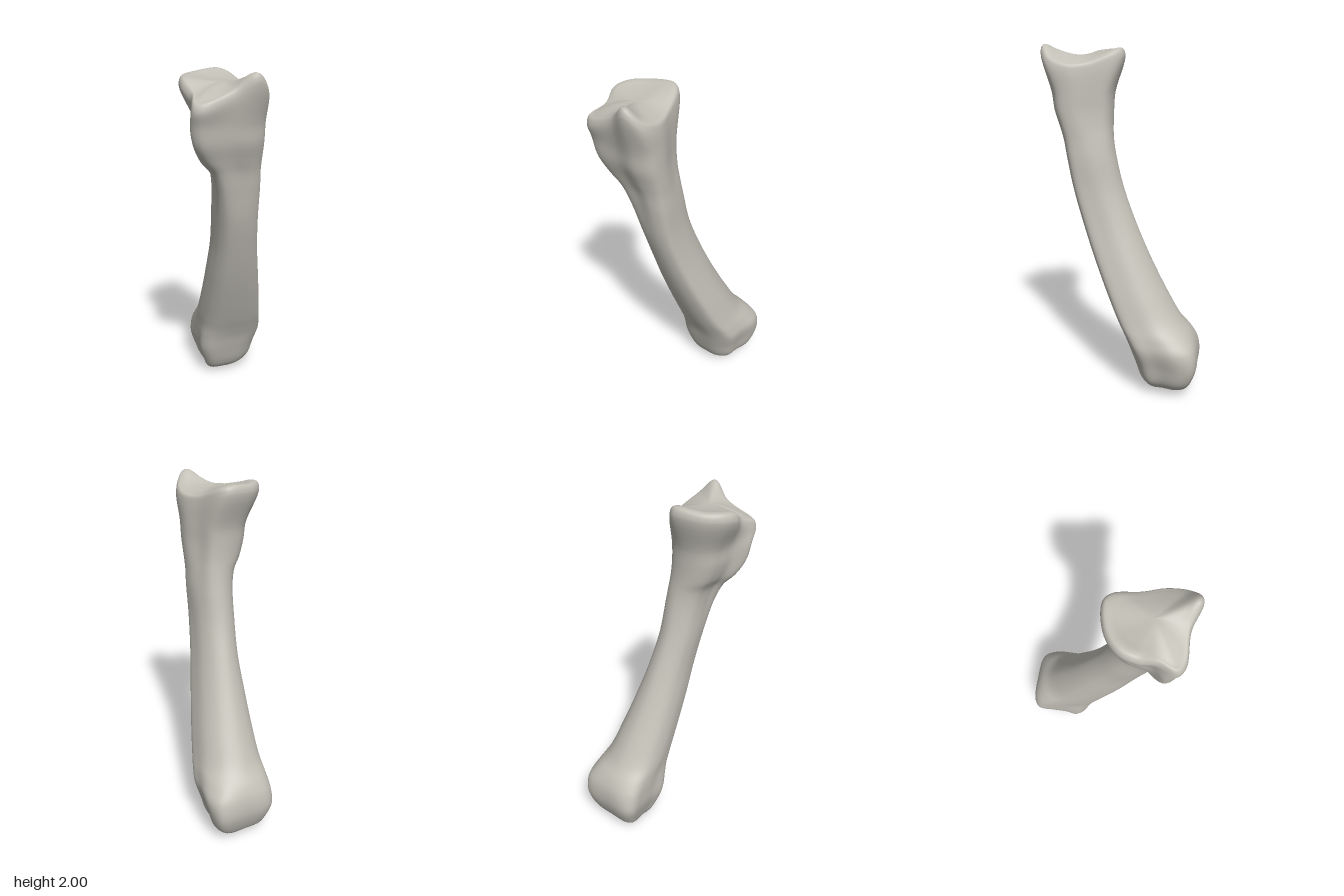
import * as THREE from 'three';
import { mergeVertices } from 'three/addons/utils/BufferGeometryUtils.js';

// Outlines in a unit square (u across x, v across z): back, -x side, front, +x side
const HEAD = [[.5, 0], [.15, .01], [.04, .1], [.03, .35], [.03, .6], [.01, .82], [.12, .96], [.45, 1], [.72, .97], [.91, .82], [.94, .58], [1, .25], [.92, .04]];
const SHAFT = [[.5, 0], [.25, .07], [.07, .22], [0, .42], [0, .6], [.05, .8], [.18, .94], [.45, 1], [.75, .99], [.965, .89], [1, .64], [.96, .35], [.78, .1]];
// Neck below the joint: hollow on the -x side behind the front corner's lump
const NECK = [[.6, 0], [.36, .06], [.22, .22], [.17, .42], [.13, .62], [0, .82], [.09, .97], [.48, .97], [.77, .99], [.97, .86], [1, .62], [.91, .34], [.81, .08]];
const BASE = [[.63, 0], [.26, .07], [.05, .24], [0, .43], [.06, .62], [0, .84], [.11, .92], [.5, .92], [.79, 1], [.97, .87], [1, .63], [.9, .38], [.76, .07]];

// Height of the joint surface's rim at each outline point
const RIM = [1.98, 1.97, 1.965, 1.95, 1.9, 1.865, 1.865, 1.92, 2, 1.93, 1.9, 1.91, 1.965];

// Cross-sections: y, xMin, xMax, zMin, zMax
const SECTIONS = [
  [0, .05, .05, -.28, -.28],
  [.012, -.02, .13, -.34, -.21],
  [.05, -.05, .215, -.4, -.155],
  [.1, -.07, .26, -.43, -.125],
  [.2, -.1, .29, -.46, -.09],
  [.3, -.103, .305, -.455, -.058],
  [.37, -.1, .285, -.425, -.028],
  [.45, -.1, .255, -.36, .01],
  [.6, -.1, .22, -.27, .075],
  [.8, -.1, .175, -.165, .155],
  [1, -.1, .135, -.075, .225],
  [1.2, -.117, .11, 0, .285],
  [1.38, -.147, .105, .045, .322],
  [1.48, -.185, .1, .062, .342],
  [1.55, -.243, .1, .068, .365],
  [1.64, -.287, .1, .068, .396],
  [1.74, -.305, .1, .06, .412],
];

const { lerp, smoothstep } = THREE.MathUtils;

// Outline that changes from head to shaft to neck with height
function outlineAt(y) {
  const toShaft = smoothstep(y, .2, .5);
  const toNeck = smoothstep(y, 1.15, 1.65);
  return SHAFT.map((s, i) => [0, 1].map(k =>
    lerp(lerp(HEAD[i][k], s[k], toShaft), NECK[i][k], toNeck)));
}

function controlRings() {
  const rings = SECTIONS.map(([y, x0, x1, z0, z1]) =>
    outlineAt(y).map(([u, v]) => new THREE.Vector3(lerp(x0, x1, u), y, lerp(z0, z1, v))));
  // Saddle-shaped joint surface, closing in to its centre: scale, drop, sink
  const cx = -.09, cz = .25, cy = 1.938;
  for (const [scale, drop, sink] of [[1, .05, 0], [.95, .008, 0], [.85, 0, .05], [.65, 0, .4], [.4, 0, .75], [.18, 0, .95], [0, 0, 1]]) {
    rings.push(BASE.map(([u, v], i) => new THREE.Vector3(
      lerp(cx, -.305 + .405 * u, scale),
      lerp(RIM[i] - drop, cy, sink),
      lerp(cz, .005 + .458 * v, scale))));
  }
  return rings;
}

// Smooth skin through the rings
function loft(rings, around, along) {
  const dense = rings.map(ring => {
    const curve = new THREE.CatmullRomCurve3(ring, true, 'centripetal');
    return Array.from({ length: around }, (_, i) => curve.getPoint(i / around));
  });
  const columns = Array.from({ length: around }, (_, i) =>
    new THREE.CatmullRomCurve3(dense.map(r => r[i]), false, 'centripetal'));
  const positions = [], index = [];
  for (let j = 0; j <= along; j++) {
    for (const c of columns) positions.push(...c.getPoint(j / along).toArray());
  }
  for (let j = 0; j < along; j++) {
    for (let i = 0; i < around; i++) {
      const a = j * around + i, b = j * around + (i + 1) % around;
      const c = a + around, d = b + around;
      // The first and last rings are points, so they need one triangle only
      if (j > 0) index.push(a, b, d);
      if (j < along - 1) index.push(a, d, c);
    }
  }
  const g = new THREE.BufferGeometry();
  g.setAttribute('position', new THREE.Float32BufferAttribute(positions, 3));
  g.setIndex(index);
  const merged = mergeVertices(g, 1e-5);
  merged.computeVertexNormals();
  return merged;
}

export function createModel() {
  const group = new THREE.Group();
  group.name = 'footBone';
  const boneGrey = new THREE.MeshStandardMaterial({ color: 0xc2bfb6 });
  boneGrey.name = 'boneGrey';
  const bone = new THREE.Mesh(loft(controlRings(), 78, 138), boneGrey);
  bone.name = 'bone';
  group.add(bone);
  return group;
}
